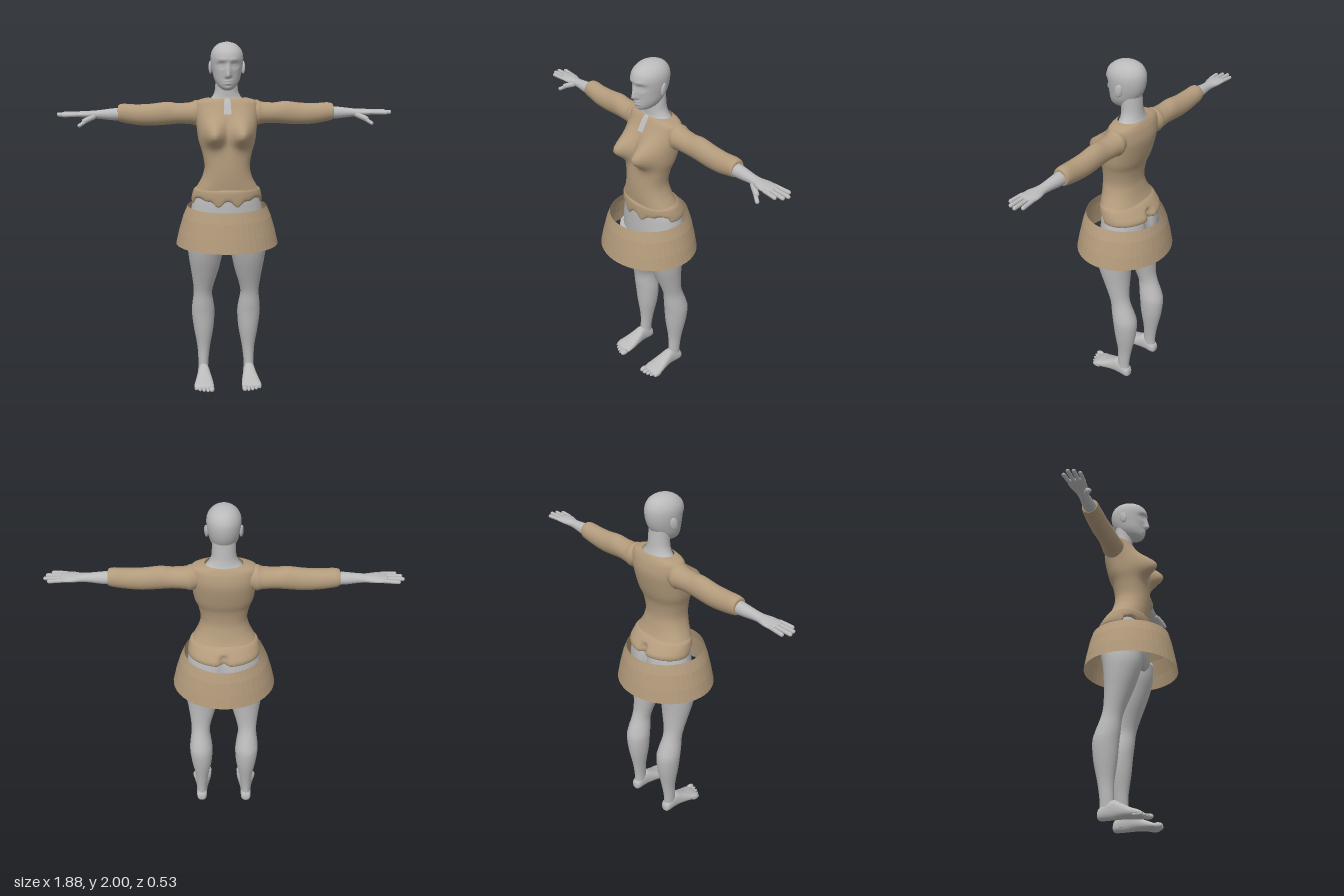
import * as THREE from 'three';

const skin = new THREE.MeshStandardMaterial({ color: 0xbababa });
skin.name = 'grey skin';
const cloth = new THREE.MeshStandardMaterial({ color: 0xb39b7c, side: THREE.DoubleSide });
cloth.name = 'tan cloth';

// Axis rules: a row is [t, a0, a1, b0, b1], t running along the part
const upright = (t, a, b) => new THREE.Vector3(a, t, b);
const sideways = (t, a, b) => new THREE.Vector3(t, b, a);
const forward = (t, a, b) => new THREE.Vector3(b, a, t);
const symmetric = rows => rows.map(([y, w, zb, zf]) => [y, -w, w, zb, zf]);
const bump = (d, r) => Math.exp(-(d * d) / (r * r));

// Spline-smoothed rows
function refine(rows, n) {
  const out = [];
  const at = i => rows[Math.max(0, Math.min(rows.length - 1, i))];
  for (let i = 0; i < rows.length - 1; i++) {
    for (let k = 0; k < n; k++) {
      const u = k / n;
      out.push(rows[i].map((p1, c) => {
        const p0 = at(i - 1)[c], p2 = at(i + 1)[c], p3 = at(i + 2)[c];
        const m1 = (p2 - p0) / 2, m2 = (p3 - p1) / 2;
        return p1 + m1 * u + (3 * (p2 - p1) - 2 * m1 - m2) * u * u + (2 * (p1 - p2) + m1 + m2) * u ** 3;
      }));
    }
  }
  out.push(rows[rows.length - 1]);
  return out;
}

// Skin a surface over oval cross-sections
function loft(name, material, rows, o = {}) {
  const { place = upright, segs = 32, steps = 4, power = 1, warp, caps = true, side = 1, paint, flat } = o;
  const rings = refine(rows, steps), pos = [], main = [], alt = [];
  const put = v => { if (warp) warp(v); pos.push(v.x * side, v.y, v.z); };
  const bend = v => Math.sign(v) * Math.abs(v) ** power;
  for (const [t, a0, a1, b0, b1] of rings) {
    for (let j = 0; j < segs; j++) {
      const q = j / segs * Math.PI * 2;
      put(place(t, (a0 + a1) / 2 + (a1 - a0) / 2 * bend(Math.cos(q)), (b0 + b1) / 2 + (b1 - b0) / 2 * bend(Math.sin(q))));
    }
  }
  const tri = (list, a, b, c) => (side > 0 ? list.push(a, b, c) : list.push(a, c, b));
  for (let i = 0; i < rings.length - 1; i++) {
    for (let j = 0; j < segs; j++) {
      const a = i * segs + j, b = i * segs + (j + 1) % segs;
      const list = paint && paint(rings[i][0], j) ? alt : main;
      tri(list, a, a + segs, b);
      tri(list, b, a + segs, b + segs);
    }
  }
  if (caps) {
    for (const i of [0, rings.length - 1]) {
      const [t, a0, a1, b0, b1] = rings[i], c = pos.length / 3;
      put(place(t, (a0 + a1) / 2, (b0 + b1) / 2));
      for (let j = 0; j < segs; j++) {
        const a = i * segs + j, b = i * segs + (j + 1) % segs;
        if (i === 0) tri(main, c, a, b); else tri(main, c, b, a);
      }
    }
  }
  let g = new THREE.BufferGeometry();
  g.setAttribute('position', new THREE.Float32BufferAttribute(pos, 3));
  g.setIndex([...main, ...alt]);
  if (paint) {
    g.addGroup(0, main.length, 0);
    g.addGroup(main.length, alt.length, 1);
  }
  if (flat) g = g.toNonIndexed();
  g.computeVertexNormals();
  const mesh = new THREE.Mesh(g, material);
  mesh.name = name;
  return mesh;
}

function ellipsoid(name, x, y, z, rx, ry, rz) {
  const mesh = new THREE.Mesh(new THREE.SphereGeometry(1, 16, 12), skin);
  mesh.name = name;
  mesh.position.set(x, y, z);
  mesh.scale.set(rx, ry, rz);
  return mesh;
}

// Rounded finger between two points
function digit(name, from, to, r) {
  const a = new THREE.Vector3(...from), d = new THREE.Vector3(...to).sub(a);
  const mesh = new THREE.Mesh(new THREE.CapsuleGeometry(r, d.length() - r, 5, 12), skin);
  mesh.name = name;
  mesh.position.copy(a).addScaledVector(d, 0.5);
  mesh.quaternion.setFromUnitVectors(new THREE.Vector3(0, 1, 0), d.normalize());
  return mesh;
}

// Nose, eye sockets, lids, lips and chin
function shapeFace(v) {
  if (v.z < 0.01) return;
  const x = Math.abs(v.x), f = Math.min(1, (v.z - 0.01) / 0.04);
  const ridge = THREE.MathUtils.clamp((1.895 - v.y) / 0.07, 0, 1) * THREE.MathUtils.smoothstep(v.y, 1.806, 1.822);
  v.z += f * (0.03 * ridge * bump(x, 0.014)
    - 0.014 * bump(x - 0.036, 0.022) * bump(v.y - 1.88, 0.016)
    + 0.007 * bump(x - 0.036, 0.013) * bump(v.y - 1.878, 0.008)
    + 0.005 * bump(x - 0.03, 0.03) * bump(v.y - 1.908, 0.01)
    + 0.009 * bump(x, 0.022) * (bump(v.y - 1.797, 0.006) + bump(v.y - 1.782, 0.006))
    + 0.005 * bump(x, 0.025) * bump(v.y - 1.757, 0.012));
}

// Bust and spine line of the shirt
function shapeTorso(v) {
  const x = Math.abs(v.x);
  if (v.z > -0.03) {
    const up = v.y > 1.505 ? 0.075 : 0.06;
    v.z += 0.105 * bump(x - 0.08, 0.06) * bump(v.y - 1.505, up) * Math.min(1, (v.z + 0.03) / 0.05);
  } else {
    v.z += 0.014 * bump(x, 0.03) * THREE.MathUtils.smoothstep(v.z, 0.05, -0.05);
  }
}

// Scalloped front edge and rear cleft of the hem
function shapeHem(v) {
  const x = Math.abs(v.x), low = THREE.MathUtils.clamp((1.17 - v.y) / 0.06, 0, 1);
  if (v.z > 0) v.y += low * (0.035 * (1 - bump(x - 0.055, 0.04)) + 0.006 * Math.sin(x * 90));
  else v.z += 0.035 * bump(x, 0.022) * Math.min(1, -v.z / 0.1) * Math.min(1, low * 2);
}

export function createModel() {
  const model = new THREE.Group();
  model.name = 'figure';

  // Head and neck
  model.add(loft('head', skin, symmetric([
    [1.743, 0.02, -0.01, 0.055], [1.752, 0.036, -0.03, 0.07], [1.77, 0.054, -0.06, 0.08], [1.8, 0.07, -0.085, 0.083],
    [1.84, 0.08, -0.108, 0.088], [1.88, 0.087, -0.12, 0.095], [1.92, 0.089, -0.123, 0.099], [1.95, 0.082, -0.116, 0.089],
    [1.975, 0.065, -0.098, 0.064], [1.992, 0.04, -0.068, 0.032], [2.0, 0.008, -0.025, -0.01]
  ]), { segs: 72, steps: 6, warp: shapeFace }));
  model.add(loft('neck', skin, symmetric([
    [1.63, 0.1, -0.12, 0.0], [1.675, 0.1, -0.118, 0.01], [1.7, 0.08, -0.11, 0.006], [1.73, 0.066, -0.104, 0.006],
    [1.77, 0.062, -0.1, 0.006], [1.83, 0.06, -0.095, 0.0]
  ])));

  // Shirt with a neck slit showing the skin
  const segs = 72;
  model.add(loft('shirt', [cloth, skin], symmetric([
    [1.19, 0.178, -0.125, 0.1], [1.22, 0.16, -0.112, 0.103], [1.26, 0.14, -0.1, 0.106], [1.32, 0.127, -0.09, 0.107],
    [1.4, 0.14, -0.1, 0.102], [1.46, 0.158, -0.122, 0.09], [1.54, 0.169, -0.142, 0.078], [1.6, 0.176, -0.15, 0.062],
    [1.65, 0.176, -0.142, 0.04], [1.675, 0.168, -0.132, 0.027], [1.688, 0.135, -0.125, 0.018], [1.695, 0.1, -0.119, 0.01]
  ]), {
    segs, power: 0.9, caps: false, warp: shapeTorso,
    paint: (y, j) => y > 1.61 && (j === segs / 4 || j === segs / 4 - 1)
  }));
  model.add(loft('shirtHem', cloth, symmetric([
    [1.1, 0.185, -0.17, 0.095], [1.108, 0.197, -0.183, 0.105], [1.13, 0.2, -0.183, 0.109], [1.16, 0.195, -0.162, 0.11],
    [1.188, 0.186, -0.138, 0.108], [1.2, 0.17, -0.12, 0.098]
  ]), { segs, caps: false, warp: shapeHem }));

  // Hips
  model.add(loft('hips', skin, symmetric([
    [0.89, 0.17, -0.1, 0.07], [0.93, 0.208, -0.15, 0.095], [1.0, 0.212, -0.172, 0.1], [1.08, 0.2, -0.17, 0.1],
    [1.14, 0.184, -0.155, 0.098], [1.21, 0.15, -0.1, 0.085]
  ]), { segs: 48, warp: v => { if (v.z < 0) v.z += 0.03 * bump(v.x, 0.025) * Math.min(1, -v.z / 0.1); } }));

  // Open flared skirt
  model.add(loft('skirt', cloth, symmetric([
    [0.875, 0.291, -0.266, 0.264], [0.95, 0.274, -0.255, 0.251], [1.035, 0.249, -0.239, 0.234], [1.095, 0.223, -0.222, 0.217]
  ]), { segs: 48, steps: 1, caps: false, flat: true }));

  for (const side of [1, -1]) {
    const pre = side > 0 ? 'left' : 'right';

    // Ear
    const ear = ellipsoid(pre + 'Ear', side * 0.09, 1.862, -0.025, 0.009, 0.036, 0.021);
    ear.rotation.set(-0.2, side * 0.3, 0);
    model.add(ear);

    // Leg
    model.add(loft(pre + 'Leg', skin, [
      [0.02, 0.108, 0.165, -0.132, -0.05], [0.1, 0.107, 0.167, -0.13, -0.055], [0.2, 0.096, 0.172, -0.144, -0.055],
      [0.32, 0.075, 0.192, -0.168, -0.039], [0.42, 0.068, 0.203, -0.175, -0.03], [0.48, 0.074, 0.2, -0.16, -0.022],
      [0.55, 0.084, 0.192, -0.133, -0.014], [0.61, 0.074, 0.195, -0.118, 0.003], [0.7, 0.048, 0.207, -0.115, 0.038],
      [0.78, 0.03, 0.219, -0.118, 0.068], [0.87, 0.012, 0.227, -0.127, 0.092], [0.96, 0.004, 0.215, -0.15, 0.095]
    ], { side }));

    // Foot and toes
    model.add(loft(pre + 'Foot', skin, [
      [-0.14, 0.015, 0.045, 0.125, 0.152], [-0.125, 0.002, 0.07, 0.108, 0.167], [-0.06, 0.002, 0.105, 0.104, 0.17],
      [-0.01, 0.004, 0.085, 0.095, 0.178], [0.04, 0.002, 0.06, 0.086, 0.19], [0.085, 0.002, 0.042, 0.082, 0.198],
      [0.11, 0.008, 0.028, 0.088, 0.185]
    ], { place: forward, power: 0.85, side }));
    for (let i = 0; i < 5; i++) {
      const r = i === 0 ? 0.016 : 0.012 - i * 0.0005;
      model.add(ellipsoid(pre + 'Toe' + (i + 1), side * (0.097 + i * 0.0225), r + 0.003, 0.118 - i * i * 0.0022, r, r, 0.028));
    }

    // Sleeve
    model.add(loft(pre + 'Sleeve', cloth, [
      [0.13, -0.115, -0.01, 1.56, 1.67], [0.17, -0.126, 0.002, 1.54, 1.681], [0.2, -0.122, -0.001, 1.547, 1.669],
      [0.27, -0.116, -0.005, 1.55, 1.665], [0.33, -0.115, -0.01, 1.545, 1.672], [0.42, -0.115, -0.012, 1.54, 1.662],
      [0.5, -0.113, -0.012, 1.545, 1.659], [0.57, -0.113, -0.017, 1.557, 1.663], [0.598, -0.109, -0.019, 1.565, 1.656],
      [0.602, -0.1, -0.027, 1.572, 1.645]
    ], { place: sideways, side }));

    // Forearm running into the palm
    model.add(loft(pre + 'ForearmAndPalm', skin, [
      [0.57, -0.098, -0.026, 1.57, 1.642], [0.63, -0.095, -0.028, 1.572, 1.638], [0.7, -0.088, -0.032, 1.58, 1.63],
      [0.74, -0.09, -0.028, 1.584, 1.626], [0.78, -0.102, -0.015, 1.588, 1.625], [0.82, -0.107, -0.012, 1.593, 1.622],
      [0.85, -0.102, -0.016, 1.6, 1.617]
    ], { place: sideways, side }));

    // Fingers and thumb
    [[-0.02, -0.015, 0.9], [-0.045, -0.041, 0.927], [-0.07, -0.071, 0.935], [-0.094, -0.102, 0.91]].forEach(([z0, z1, x], i) =>
      model.add(digit(pre + 'Finger' + (i + 1), [side * 0.82, 1.608, z0], [side * x, 1.606, z1], 0.0105)));
    model.add(digit(pre + 'ThumbBase', [side * 0.73, 1.597, -0.04], [side * 0.79, 1.572, -0.008], 0.015));
    model.add(digit(pre + 'Thumb', [side * 0.77, 1.578, -0.015], [side * 0.815, 1.55, 0.01], 0.0105));
  }
  return model;
}
